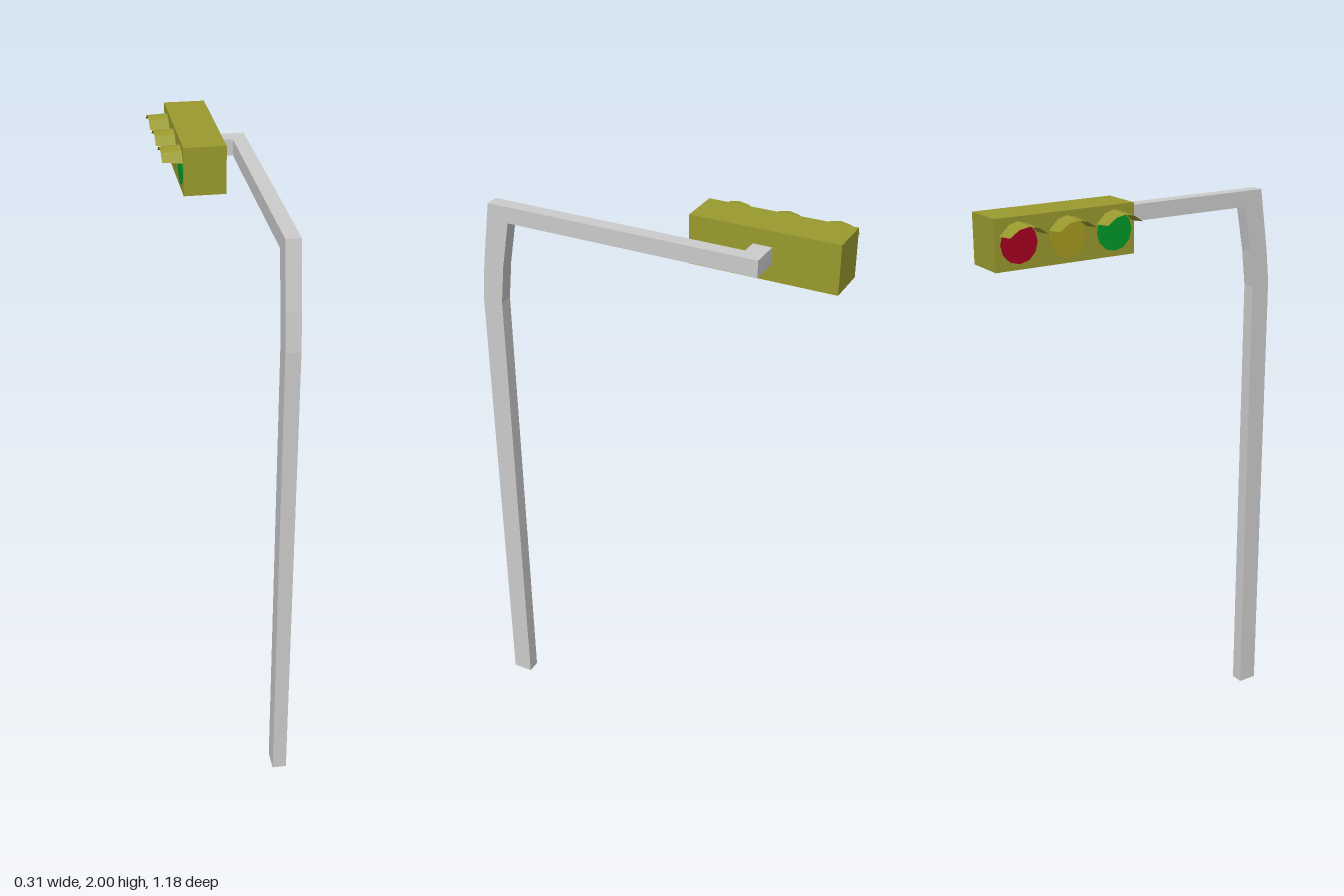
import * as THREE from 'three';

const mat = (color, side = THREE.FrontSide) =>
  new THREE.MeshStandardMaterial({ color, side, flatShading: true });

function addMesh(parent, name, geometry, material, x = 0, y = 0, z = 0) {
  const mesh = new THREE.Mesh(geometry, material);
  mesh.name = name;
  mesh.position.set(x, y, z);
  parent.add(mesh);
  return mesh;
}

// Thin arched hood reaching out along -x; the arch flattens towards its tip
function visorGeometry() {
  const segments = 4, halfWidth = 0.063;
  const geo = new THREE.PlaneGeometry(1, 1, segments, 1);
  const pos = geo.attributes.position;
  for (let i = 0; i < pos.count; i++) {
    const t = pos.getX(i) * 2;            // -1..1 across the arch
    const out = pos.getY(i) + 0.5;        // 0 at the housing, 1 at the tip
    const rise = 1 - t * t * (0.85 + 0.15 * t * t);
    const base = 0.026 + 0.006 * out;
    const height = 0.039 - 0.012 * out;
    pos.setXYZ(i, -0.066 * out, base + height * rise, halfWidth * t);
  }
  geo.computeVertexNormals();
  return geo;
}

export function createModel() {
  const model = new THREE.Group();
  model.name = 'trafficLight';
  const grey = mat(0xcccccc);
  const olive = mat(0x99992e);
  const oliveThin = mat(0x99992e, THREE.DoubleSide);

  // Bent pole and overhead arm, outlined in (z, y) and extruded across x
  const outline = [
    [0.588, 0], [0.588, 1.62], [0.575, 1.74], [0.543, 1.95],
    [-0.376, 1.95], [-0.376, 1.896], [0.474, 1.896],
    [0.503, 1.74], [0.518, 1.61], [0.518, 0],
  ].map(([z, y]) => new THREE.Vector2(z, y));
  const poleGeo = new THREE.ExtrudeGeometry(new THREE.Shape(outline), {
    depth: 0.047, bevelEnabled: false,
  });
  poleGeo.rotateY(-Math.PI / 2);
  addMesh(model, 'poleAndArm', poleGeo, grey, 0.152);

  // Short bracket from the arm to the housing
  addMesh(model, 'bracket', new THREE.BoxGeometry(0.057, 0.054, 0.062), grey,
    0.0775, 1.923, -0.345);

  // Signal head
  const head = new THREE.Group();
  head.name = 'signalHead';
  head.position.set(-0.019, 1.921, -0.347);
  model.add(head);
  addMesh(head, 'housing', new THREE.BoxGeometry(0.138, 0.158, 0.482), olive);

  // Three lamps, each under its own visor
  const visor = visorGeometry();
  const lens = new THREE.CylinderGeometry(0.062, 0.062, 0.004, 12);
  lens.rotateZ(Math.PI / 2);
  const lamps = [['red', 0xa80020], ['amber', 0xa89a20], ['green', 0x009a28]];
  lamps.forEach(([name, color], i) => {
    const z = (i - 1) * 0.165 + 0.004;
    addMesh(head, name + 'Lens', lens, mat(color), -0.069, 0, z);
    addMesh(head, name + 'Visor', visor, oliveThin, -0.069, 0, z);
  });

  return model;
}
